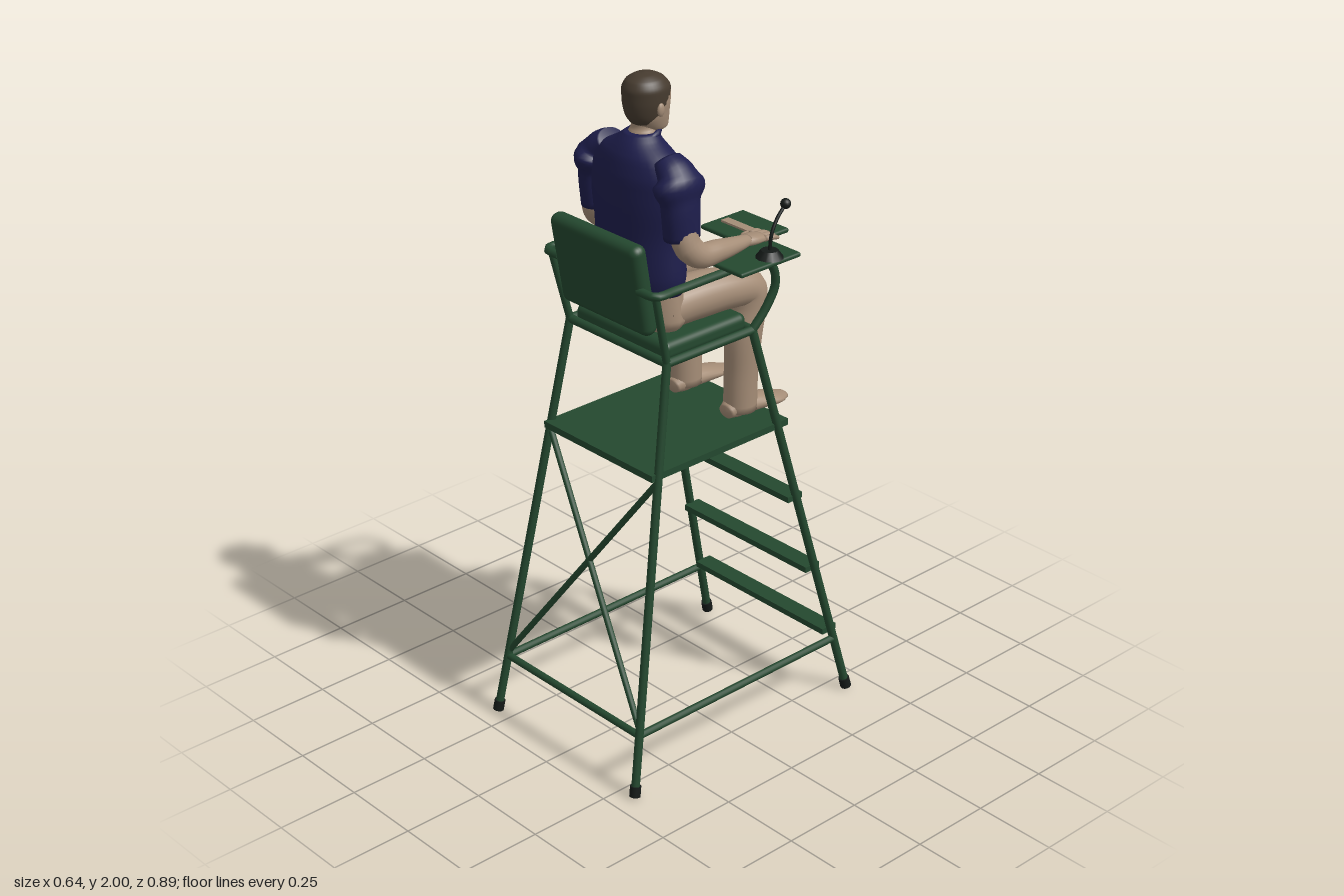
import * as THREE from 'three';
import { RoundedBoxGeometry } from 'three/addons/geometries/RoundedBoxGeometry.js';

const mat = (name, color, side = THREE.FrontSide) => {
  const m = new THREE.MeshStandardMaterial({ color, side });
  m.name = name;
  return m;
};

export function createModel() {
  const root = new THREE.Group();
  root.name = 'umpireChair';
  const green = mat('green paint', 0x24482f);
  const navy = mat('navy cloth', 0x1e1e4c);
  const skin = mat('tan', 0xa58d77);
  const hair = mat('dark brown hair', 0x463b2f);
  const black = mat('black', 0x151a18);
  const V = (p) => new THREE.Vector3(p[0], p[1], p[2]);

  const add = (parent, name, geo, material, pos) => {
    const m = new THREE.Mesh(geo, material);
    m.name = name;
    if (pos) m.position.set(...pos);
    parent.add(m);
    return m;
  };
  const group = (name) => {
    const g = new THREE.Group();
    g.name = name;
    root.add(g);
    return g;
  };

  // Straight rod between two points
  const rod = (parent, name, a, b, r, material = green, sides = 12) => {
    const d = V(b).sub(V(a));
    const m = add(parent, name, new THREE.CylinderGeometry(r, r, d.length(), sides), material);
    m.position.copy(V(a)).addScaledVector(d, 0.5);
    m.quaternion.setFromUnitVectors(new THREE.Vector3(0, 1, 0), d.normalize());
    return m;
  };
  const bent = (parent, name, pts, r, material = green) =>
    add(parent, name, new THREE.TubeGeometry(new THREE.CatmullRomCurve3(pts.map(V)), 40, r, 10), material);

  // Smooth body from oval sections [x, y, z, radius sideways, radius other way]
  // flat keeps the sections level; isSecond puts faces into a second material group
  const bodyGeo = (sections, { flat = false, steps = 20, seg = 20, isSecond = null } = {}) => {
    const centre = new THREE.CatmullRomCurve3(sections.map(V));
    const size = new THREE.CatmullRomCurve3(sections.map((s) => new THREE.Vector3(s[3], s[4], 0)));
    const pos = [], first = [], second = [];
    for (let i = 0; i <= steps; i++) {
      const c = centre.getPoint(i / steps), s = size.getPoint(i / steps);
      const t = flat ? new THREE.Vector3(0, 1, 0) : centre.getTangent(i / steps);
      const u = new THREE.Vector3(1, 0, 0).addScaledVector(t, -t.x).normalize();
      const v = new THREE.Vector3().crossVectors(t, u);
      for (let j = 0; j < seg; j++) {
        const a = (j / seg) * Math.PI * 2;
        const p = c.clone().addScaledVector(u, s.x * Math.cos(a)).addScaledVector(v, s.y * Math.sin(a));
        pos.push(p.x, p.y, p.z);
      }
    }
    const face = (a, b, c) => {
      const mid = (k) => (pos[a * 3 + k] + pos[b * 3 + k] + pos[c * 3 + k]) / 3;
      (isSecond && isSecond(mid(0), mid(1), mid(2)) ? second : first).push(a, b, c);
    };
    for (let i = 0; i < steps; i++) for (let j = 0; j < seg; j++) {
      const k = (j + 1) % seg, a = i * seg, b = a + seg;
      face(a + j, a + k, b + k);
      face(a + j, b + k, b + j);
    }
    const start = pos.length / 3, end = start + 1, last = steps * seg;
    pos.push(...sections[0].slice(0, 3), ...sections[sections.length - 1].slice(0, 3));
    for (let j = 0; j < seg; j++) {
      const k = (j + 1) % seg;
      face(start, k, j);
      face(end, last + j, last + k);
    }
    const g = new THREE.BufferGeometry();
    g.setAttribute('position', new THREE.Float32BufferAttribute(pos, 3));
    g.setIndex([...first, ...second]);
    if (isSecond) {
      g.addGroup(0, first.length, 0);
      g.addGroup(first.length, second.length, 1);
    }
    g.computeVertexNormals();
    return g;
  };
  const body = (parent, name, sections, material, opt) => add(parent, name, bodyGeo(sections, opt), material);

  // Frame: legs, rubber feet, side rails, armrests
  const frame = group('frame');
  const backLeg = (s, y) => [s * (0.305 - 0.084 * y), y, 0.43 - 0.176 * y];
  const frontLeg = (s, y) => [s * (0.305 - 0.084 * y), y, -0.425 + 0.252 * y];
  for (const s of [-1, 1]) {
    for (const [name, leg] of [['backLeg', backLeg], ['frontLeg', frontLeg]]) {
      rod(frame, name, leg(s, 0.015), leg(s, 1.255), 0.0125);
      rod(frame, 'rubberFoot', leg(s, 0.004), leg(s, 0.035), 0.0165, black);
    }
    rod(frame, 'sideRail', backLeg(s, 0.185), frontLeg(s, 0.185), 0.011);
    rod(frame, 'seatRail', backLeg(s, 1.25), frontLeg(s, 1.25), 0.0125);
    rod(frame, 'backUpright', backLeg(s, 1.25), [s * 0.213, 1.47, 0.262], 0.011);
    bent(frame, 'armrest', [[s * 0.2, 1.25, -0.11], [s * 0.212, 1.31, -0.15], [s * 0.222, 1.38, -0.175],
      [s * 0.225, 1.44, -0.155], [s * 0.225, 1.468, -0.09], [s * 0.225, 1.47, 0.05], [s * 0.225, 1.47, 0.2],
      [s * 0.22, 1.47, 0.268], [s * 0.16, 1.47, 0.275]], 0.0125);
    rod(frame, 'backBrace', backLeg(s, 0.2), backLeg(-s, 0.92), 0.009);
  }
  rod(frame, 'backRail', backLeg(-1, 0.185), backLeg(1, 0.185), 0.011);
  rod(frame, 'seatBackRail', backLeg(-1, 1.25), backLeg(1, 1.25), 0.0125);
  rod(frame, 'seatFrontRail', frontLeg(-1, 1.25), frontLeg(1, 1.25), 0.0125);

  // Ladder steps and foot platform
  for (const [y, z, w] of [[0.21, -0.375, 0.55], [0.44, -0.312, 0.52], [0.69, -0.248, 0.49]])
    add(frame, 'step', new THREE.BoxGeometry(w, 0.018, 0.056), green, [0, y, z]);
  add(frame, 'platform', new THREE.BoxGeometry(0.455, 0.02, 0.52), green, [0, 0.935, 0.03]);

  // Seat and backrest cushions
  const seat = group('seat');
  add(seat, 'seatCushion', new RoundedBoxGeometry(0.375, 0.055, 0.31, 4, 0.022), green, [0, 1.27, 0.05]);
  const back = add(seat, 'backrest', new RoundedBoxGeometry(0.355, 0.275, 0.052, 4, 0.024), green, [0, 1.465, 0.258]);
  back.rotation.x = 0.17;

  // Writing trays and microphone
  const trays = group('trays');
  add(trays, 'sideTray', new RoundedBoxGeometry(0.185, 0.014, 0.225, 2, 0.006), green, [0.215, 1.488, -0.075]);
  add(trays, 'frontTray', new RoundedBoxGeometry(0.185, 0.014, 0.165, 2, 0.006), green, [0.077, 1.491, -0.195]);
  add(trays, 'notepad', new THREE.BoxGeometry(0.16, 0.006, 0.028), skin, [0.09, 1.501, -0.182]);
  const mic = group('microphone');
  add(mic, 'microphoneBase', new THREE.CylinderGeometry(0.024, 0.04, 0.022, 12), black, [0.272, 1.505, -0.1]);
  bent(mic, 'microphoneStem', [[0.272, 1.51, -0.1], [0.272, 1.56, -0.107], [0.27, 1.6, -0.13], [0.27, 1.63, -0.158]], 0.005, black);
  add(mic, 'microphoneHead', new THREE.SphereGeometry(0.015, 14, 10), black, [0.27, 1.633, -0.16]);

  // Seated person: shirt, hips, neck, head
  const person = group('person');
  body(person, 'shirt', [[0, 1.405, 0.125, 0.15, 0.085], [0, 1.46, 0.125, 0.158, 0.092], [0, 1.56, 0.125, 0.152, 0.094],
    [0, 1.66, 0.125, 0.165, 0.096], [0, 1.73, 0.125, 0.165, 0.092], [0, 1.785, 0.127, 0.13, 0.076],
    [0, 1.82, 0.125, 0.07, 0.057], [0, 1.84, 0.118, 0.045, 0.045]], navy, { flat: true, steps: 28, seg: 32 });
  body(person, 'hips', [[0, 1.285, 0.12, 0.13, 0.065], [0, 1.33, 0.12, 0.155, 0.085], [0, 1.42, 0.125, 0.148, 0.083]],
    skin, { flat: true });
  body(person, 'neck', [[0, 1.79, 0.12, 0.043, 0.043], [0, 1.84, 0.112, 0.04, 0.04], [0, 1.89, 0.11, 0.04, 0.04]], skin, { flat: true });
  const collar = add(person, 'collar', new THREE.TorusGeometry(0.044, 0.009, 8, 24), navy, [0, 1.832, 0.114]);
  collar.rotation.x = Math.PI / 2 + 0.25;
  body(person, 'head', [[0, 1.832, 0.072, 0.02, 0.022], [0, 1.845, 0.08, 0.04, 0.045], [0, 1.88, 0.096, 0.053, 0.063],
    [0, 1.92, 0.1, 0.06, 0.069], [0, 1.955, 0.101, 0.061, 0.07], [0, 1.982, 0.104, 0.049, 0.056],
    [0, 1.996, 0.105, 0.026, 0.03], [0, 2.0, 0.105, 0.002, 0.002]], [skin, hair],
    { flat: true, steps: 40, seg: 40, isSecond: (x, y, z) => y > 1.958 - (z - 0.045) * 1.05 });
  body(person, 'nose', [[0, 1.928, 0.036, 0.005, 0.005], [0, 1.908, 0.03, 0.009, 0.01], [0, 1.893, 0.034, 0.011, 0.007]],
    skin, { flat: true, steps: 6, seg: 10 });

  for (const s of [-1, 1]) {
    add(person, 'ear', new THREE.SphereGeometry(1, 10, 8), skin, [s * 0.06, 1.908, 0.102]).scale.set(0.007, 0.019, 0.012);
    // Legs and feet
    body(person, 'thigh', [[s * 0.08, 1.35, 0.13, 0.07, 0.065], [s * 0.095, 1.357, 0.02, 0.069, 0.066],
      [s * 0.115, 1.355, -0.09, 0.06, 0.06], [s * 0.122, 1.335, -0.165, 0.053, 0.054],
      [s * 0.122, 1.29, -0.17, 0.051, 0.052], [s * 0.12, 1.2, -0.155, 0.051, 0.055],
      [s * 0.116, 1.08, -0.15, 0.048, 0.05], [s * 0.114, 0.965, -0.15, 0.047, 0.05]], skin, { steps: 40 });
    body(person, 'foot', [[s * 0.112, 0.968, -0.095, 0.025, 0.02], [s * 0.112, 0.975, -0.13, 0.037, 0.03],
      [s * 0.115, 0.972, -0.2, 0.04, 0.026], [s * 0.12, 0.963, -0.27, 0.042, 0.017],
      [s * 0.12, 0.958, -0.315, 0.022, 0.009]], skin);
    // Sleeve and bare upper arm
    body(person, 'sleeve', [[s * 0.11, 1.785, 0.125, 0.035, 0.045], [s * 0.15, 1.752, 0.127, 0.045, 0.06],
      [s * 0.165, 1.69, 0.13, 0.045, 0.06], [s * 0.167, 1.585, 0.125, 0.045, 0.054]], navy);
  }

  // Arms: one hand on the tray, the other on the thigh
  body(person, 'rightArm', [[0.17, 1.63, 0.128, 0.036, 0.042], [0.187, 1.565, 0.123, 0.036, 0.04],
    [0.2, 1.532, 0.09, 0.033, 0.036], [0.198, 1.526, 0.03, 0.033, 0.032], [0.188, 1.518, -0.06, 0.024, 0.022],
    [0.178, 1.514, -0.105, 0.021, 0.016]], skin, { steps: 30 });
  body(person, 'leftArm', [[-0.17, 1.63, 0.128, 0.036, 0.042], [-0.188, 1.56, 0.118, 0.036, 0.04],
    [-0.195, 1.522, 0.075, 0.034, 0.036], [-0.18, 1.497, 0.01, 0.032, 0.031], [-0.15, 1.46, -0.06, 0.024, 0.022],
    [-0.137, 1.442, -0.09, 0.021, 0.017]], skin, { steps: 30 });
  const hand = (name, [x, y, z], drop, turn) => {
    const g = new THREE.Group();
    g.name = name;
    g.position.set(x, y, z);
    g.rotation.set(drop, turn, 0, 'YXZ');
    person.add(g);
    const opt = { steps: 8, seg: 10 };
    body(g, 'palm', [[0, 0, 0.015, 0.02, 0.015], [0, 0, -0.02, 0.032, 0.014], [0, -0.002, -0.055, 0.033, 0.01]], skin, opt);
    for (let i = 0; i < 4; i++) {
      const fx = (i - 1.5) * 0.017, len = 0.045 - Math.abs(i - 1.5) * 0.006;
      body(g, 'finger', [[fx, 0, -0.045, 0.009, 0.009], [fx * 1.2, -0.002, -0.055 - len / 2, 0.008, 0.008],
        [fx * 1.3, -0.008, -0.055 - len, 0.005, 0.005]], skin, opt);
    }
    const t = x > 0 ? -1 : 1;
    body(g, 'thumb', [[t * 0.018, 0, -0.005, 0.01, 0.01], [t * 0.038, -0.004, -0.03, 0.009, 0.009],
      [t * 0.045, -0.006, -0.058, 0.006, 0.006]], skin, opt);
  };
  hand('rightHand', [0.178, 1.512, -0.105], 0, 0.05);
  hand('leftHand', [-0.136, 1.44, -0.09], -0.2, -0.35);

  return root;
}
